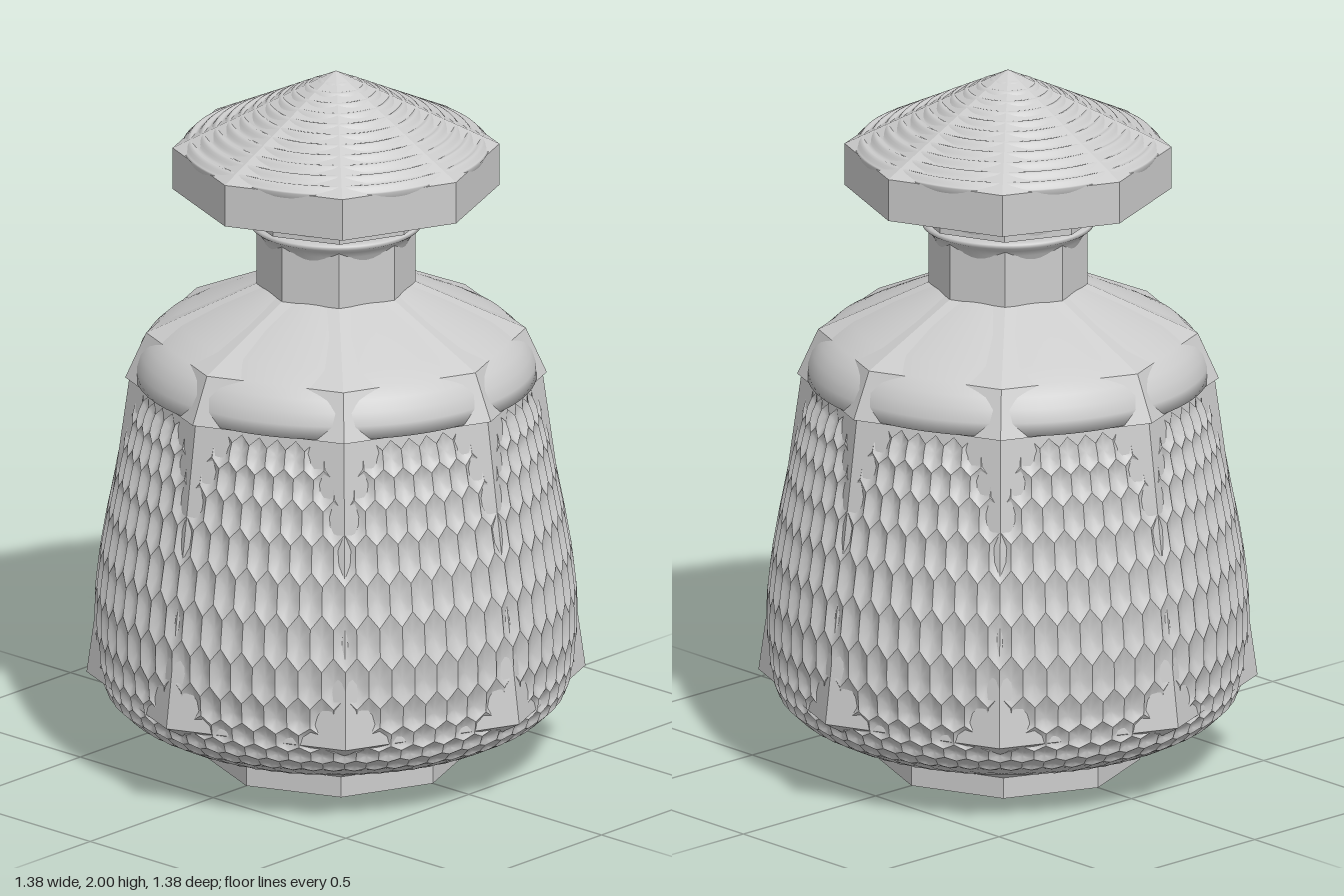
import * as THREE from 'three';

const flat = new THREE.MeshStandardMaterial({ color: 0xcccccc, flatShading: true, side: THREE.DoubleSide });
const smooth = new THREE.MeshStandardMaterial({ color: 0xcccccc, side: THREE.DoubleSide });

// Turned part from [radius, height] pairs; 8 sides give the faceted pieces
function turned(name, profile, sides, material) {
  const points = profile.map(([r, y]) => new THREE.Vector2(r, y));
  const mesh = new THREE.Mesh(new THREE.LatheGeometry(points, sides), material);
  mesh.name = name;
  return mesh;
}

// Piecewise linear lookup in [key, value] pairs
function lookup(pairs, k) {
  let i = 0;
  while (i < pairs.length - 2 && k > pairs[i + 1][0]) i++;
  const [a, va] = pairs[i], [b, vb] = pairs[i + 1];
  return va + (vb - va) * (k - a) / (b - a);
}

// Round bulb: height -> radius
const BULB = [[0.06, 0.3], [0.09, 0.42], [0.115, 0.51], [0.155, 0.588], [0.2, 0.635], [0.25, 0.654],
  [0.3, 0.661], [0.38, 0.667], [0.45, 0.668], [0.52, 0.663], [0.6, 0.653], [0.7, 0.636],
  [0.9, 0.597], [1.05, 0.561], [1.11, 0.535]];

// Heights of the honeycomb row centres
const ROWS = [0.095, 0.115, 0.142, 0.175, 0.212, 0.258, 0.325, 0.43, 0.55, 0.67, 0.785, 0.885, 0.975, 1.05]
  .map((y, i) => [i, y]);

// Honeycomb of hollow six-sided cells wrapped round the bulb
function honeycomb() {
  const COLUMNS = 64, RINGS = [0.35, 0.7, 1], STEPS = 12;
  const positions = [], index = [];
  const add = (u, v, t, depth) => {
    const y = lookup(ROWS, v), a = u / COLUMNS * Math.PI * 2;
    const r = lookup(BULB, y) - depth * (1 - t * t);
    positions.push(r * Math.sin(a), y, r * Math.cos(a));
  };
  const corners = [[0.5, -1 / 3], [0.5, 1 / 3], [0, 2 / 3], [-0.5, 1 / 3], [-0.5, -1 / 3], [0, -2 / 3]];
  for (let row = 0; row < ROWS.length; row++) {
    const depth = Math.min(0.015, 0.003 + row * 0.0025);
    for (let col = 0; col < COLUMNS; col++) {
      const u = col + (row % 2) / 2, base = positions.length / 3;
      add(u, row, 0, depth);
      RINGS.forEach((t, k) => {
        for (let s = 0; s < STEPS; s++) {
          const p = corners[s >> 1], q = corners[((s >> 1) + 1) % 6], f = (s % 2) / 2;
          add(u + t * (p[0] + (q[0] - p[0]) * f), row + t * (p[1] + (q[1] - p[1]) * f), t, depth);
          const n = (s + 1) % STEPS, o = base + 1 + k * STEPS, i = o - STEPS;
          if (k === 0) index.push(base, o + s, o + n);
          else index.push(i + s, o + s, o + n, i + s, o + n, i + n);
        }
      });
    }
  }
  const geometry = new THREE.BufferGeometry();
  geometry.setAttribute('position', new THREE.Float32BufferAttribute(positions, 3));
  geometry.setIndex(index);
  geometry.computeVertexNormals();
  const mesh = new THREE.Mesh(geometry, smooth);
  mesh.name = 'honeycombBulb';
  return mesh;
}

export function createModel() {
  const group = new THREE.Group();

  // Faceted bottle: foot, tapered walls
  group.add(turned('foot', [[0, 0], [0.365, 0], [0.365, 0.065], [0.3, 0.07]], 8, flat));
  group.add(turned('body', [[0.365, 0.06], [0.69, 0.25], [0.57, 1.12]], 8, flat));

  // Rounded bulb showing through the walls
  group.add(honeycomb());
  group.add(turned('bulbUnderside', [[0.28, 0.057], [0.36, 0.074], [0.42, 0.09], [0.46, 0.104]], 96, smooth));

  // Faceted shoulder with a rounded one swelling through it
  group.add(turned('shoulder', [[0.5, 1.11], [0.583, 1.11], [0.525, 1.24], [0.22, 1.38]], 8, flat));
  group.add(turned('roundShoulder', [[0.5, 1.113], [0.556, 1.113], [0.553, 1.15], [0.541, 1.185],
    [0.52, 1.215], [0.49, 1.243], [0.43, 1.276], [0.32, 1.329], [0.2, 1.384]], 96, smooth));

  // Neck and its lip
  group.add(turned('neck', [[0.22, 1.37], [0.22, 1.565], [0, 1.565]], 8, flat));
  group.add(turned('neckLip', [[0.195, 1.49], [0.209, 1.525], [0.222, 1.543], [0.238, 1.555],
    [0.238, 1.566], [0.225, 1.57], [0, 1.57]], 64, smooth));

  // Stopper: plug, collar and faceted cap
  group.add(turned('plug', [[0.2, 1.56], [0.2, 1.6]], 32, smooth));
  group.add(turned('collar', [[0, 1.58], [0.257, 1.58], [0.257, 1.67]], 8, flat));
  group.add(turned('roundCollar', [[0.235, 1.585], [0.242, 1.6], [0.242, 1.665]], 64, smooth));
  group.add(turned('cap', [[0, 1.66], [0.452, 1.66], [0.452, 1.78], [0, 2]], 8, flat));

  // Round rippled dome showing through the cap's faces
  const dome = [[0.418, 1.765]];
  for (let i = 0; i <= 90; i++) {
    const r = 0.425 * (1 - i / 90);
    const ripple = 0.005 * Math.sin(r / 0.036 * Math.PI * 2) * Math.min(1, r / 0.08);
    dome.push([r, 1.78 + 0.217 * (1 - r / 0.438) + ripple]);
  }
  group.add(turned('rippledDome', dome, 96, smooth));

  return group;
}
